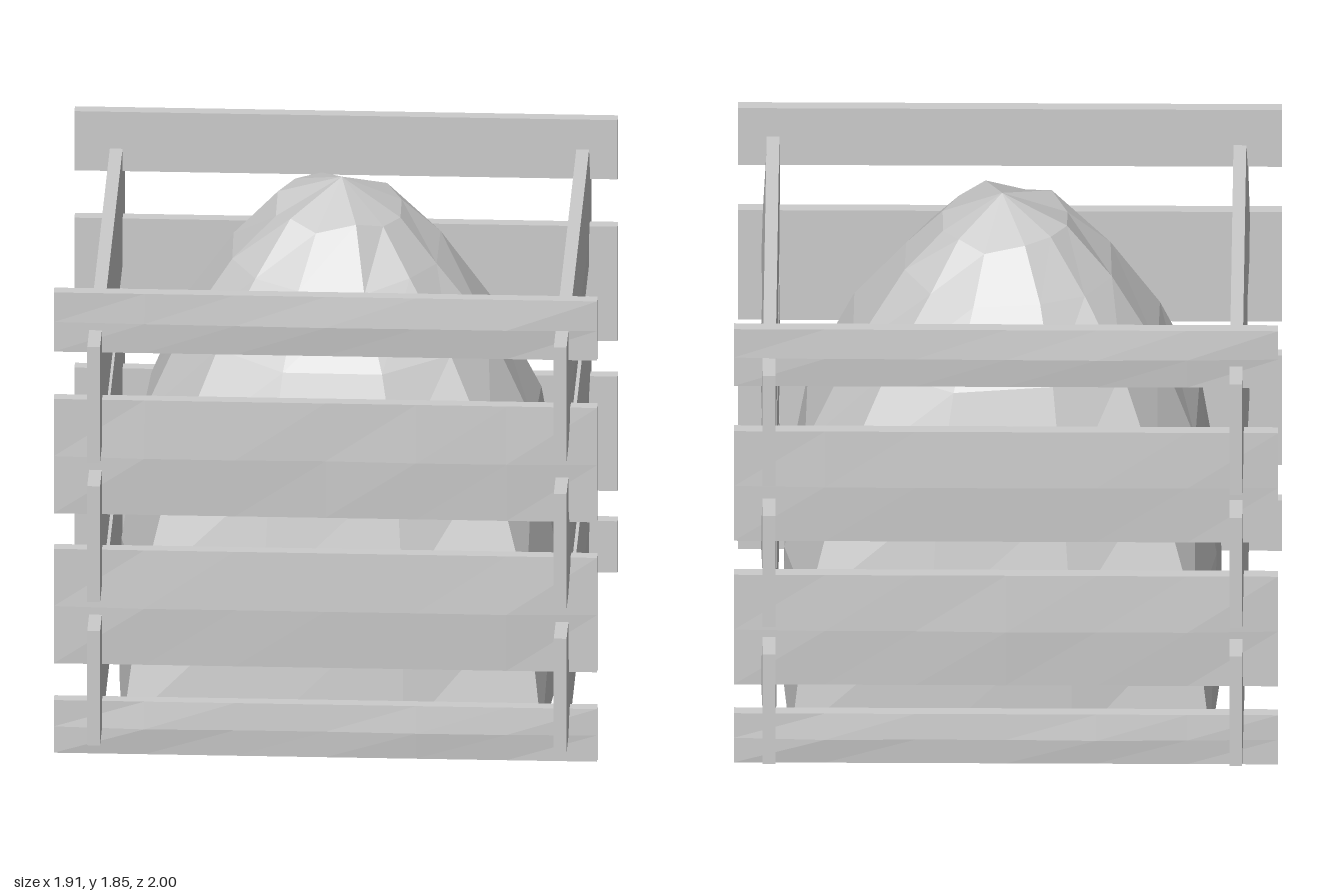
import * as THREE from 'three';

const material = new THREE.MeshStandardMaterial({ color: 0xcccccc, flatShading: true, side: THREE.DoubleSide });

function seeded(seed) {
  return () => {
    seed = (seed * 16807) % 2147483647;
    return seed / 2147483647 - 0.5;
  };
}

// One plank along x; its outer face (+z) swells very slightly between the ends
function createSlat(length, height, random) {
  const geometry = new THREE.BoxGeometry(length, height, 0.045, 6, 2, 1);
  const p = geometry.attributes.position;
  const swell = Array.from({ length: 7 }, () => 0.01 + 0.01 * random());
  for (let i = 0; i < p.count; i++) {
    const column = Math.round((p.getX(i) / length + 0.5) * 6);
    const inside = column > 0 && column < 6 && Math.abs(p.getY(i)) < height * 0.4;
    if (p.getZ(i) > 0 && inside) p.setZ(i, p.getZ(i) + swell[column]);
  }
  geometry.computeVertexNormals();
  return new THREE.Mesh(geometry, material);
}

// Faceted mound: cross-sections change from a square foot to a round top
function createHeap() {
  const random = seeded(41);
  // height, left x, right x, back z, front z, squareness, jitter
  const sections = [
    [0.06, -0.75, 0.79, -0.78, 0.79, 16, 0],
    [0.55, -0.74, 0.78, -0.78, 0.75, 6, 0.02],
    [1.0, -0.67, 0.71, -0.71, 0.66, 3.2, 0.03],
    [1.35, -0.54, 0.56, -0.58, 0.53, 2.4, 0.03],
    [1.59, -0.38, 0.38, -0.41, 0.39, 2, 0.03],
    [1.75, -0.22, 0.24, -0.27, 0.24, 2, 0.02],
    [1.85, 0.02, 0.02, -0.02, -0.02, 2, 0],
  ];
  const angles = [];
  for (let q = 0; q < 4; q++) for (const a of [45, 72, 108]) angles.push(THREE.MathUtils.degToRad(a + 90 * q));

  const rings = sections.map(([y, x0, x1, z0, z1, n, jitter]) => angles.map((a) => {
    const c = Math.cos(a), s = Math.sin(a);
    const r = 1 / Math.pow(Math.abs(c) ** n + Math.abs(s) ** n, 1 / n);
    const k = r * (1 + jitter * random());
    return new THREE.Vector3(
      (x0 + x1) / 2 + k * c * (x1 - x0) / 2,
      y + 2 * jitter * random(),
      (z0 + z1) / 2 + k * s * (z1 - z0) / 2,
    );
  }));

  const points = [];
  for (let i = 0; i < rings.length - 1; i++) {
    for (let k = 0; k < angles.length; k++) {
      const next = (k + 1) % angles.length;
      const a = rings[i][k], b = rings[i][next], c = rings[i + 1][k], d = rings[i + 1][next];
      points.push(a, c, b);
      if (i < rings.length - 2) points.push(b, c, d);
    }
  }
  const geometry = new THREE.BufferGeometry().setFromPoints(points);
  geometry.computeVertexNormals();
  const heap = new THREE.Mesh(geometry, material);
  heap.name = 'compostHeap';
  return heap;
}

export function createModel() {
  const model = new THREE.Group();
  model.name = 'compostBin';
  model.add(createHeap());

  // Four walls of stacked planks; neighbouring walls overlap like notched logs
  const middle = [[0.34, 0.775], [0.91, 1.345]];
  const lowSides = [[0.095, 0.53], [0.64, 1.08]];
  const walls = [
    { name: 'front', turn: 0, x: 0, z: 0.822, length: 1.91, rows: [[0, 0.2], ...middle, [1.525, 1.75]] },
    { name: 'back', turn: Math.PI, x: 0, z: -0.842, length: 1.91, rows: [[0.03, 0.225], ...middle, [1.525, 1.75]] },
    { name: 'left', turn: Math.PI / 2, x: 0.832, z: 0, length: 2, rows: [...lowSides, [1.2, 1.637]] },
    { name: 'right', turn: -Math.PI / 2, x: -0.808, z: 0, length: 2, rows: [...lowSides, [1.17, 1.61]] },
  ];
  const random = seeded(7);
  for (const { name, turn, x, z, length, rows } of walls) {
    const wall = new THREE.Group();
    wall.name = name + 'Wall';
    wall.position.set(x, 0, z);
    wall.rotation.y = turn;
    rows.forEach(([bottom, top], i) => {
      const slat = createSlat(length, top - bottom, random);
      slat.name = `${name}Slat${i + 1}`;
      slat.position.y = (bottom + top) / 2;
      wall.add(slat);
    });
    model.add(wall);
  }
  return model;
}
